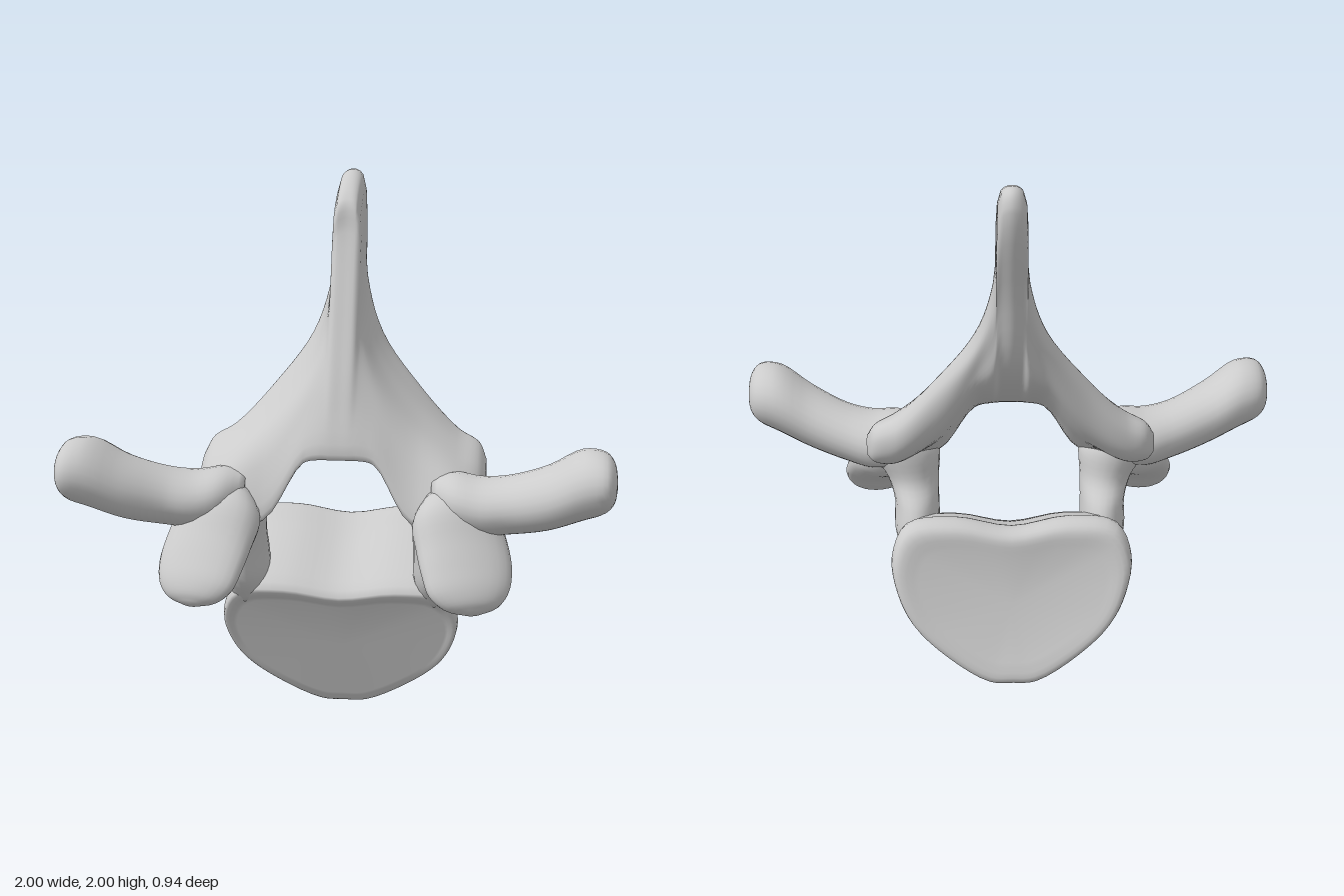
import * as THREE from 'three';

const material = new THREE.MeshStandardMaterial({ color: 0xcccccc, roughness: 0.8 });
const V = (x, y, z) => new THREE.Vector3(x, y, z);

// Smooth capped skin over closed rings of Vector3, subdivided around and along
function loft(rings, around = 40, steps = 4, startCap, endCap) {
  const loops = rings.map((r) => {
    const c = new THREE.CatmullRomCurve3(r, true);
    return Array.from({ length: around }, (_, i) => c.getPoint(i / around));
  });
  const rows = (rings.length - 1) * steps + 1;
  const pos = [];
  const columns = loops[0].map((_, i) => new THREE.CatmullRomCurve3(loops.map((l) => l[i])));
  for (let j = 0; j < rows; j++) {
    for (const c of columns) pos.push(...c.getPoint(j / (rows - 1)).toArray());
  }
  const mean = (l) => l.reduce((s, p) => s.add(p), V(0, 0, 0)).divideScalar(l.length);
  const a = pos.length / 3;
  pos.push(...(startCap || mean(loops[0])).toArray(), ...(endCap || mean(loops.at(-1))).toArray());
  const index = [];
  for (let i = 0; i < around; i++) {
    const k = (i + 1) % around;
    for (let j = 0; j < rows - 1; j++) {
      const p = j * around, q = p + around;
      index.push(p + i, p + k, q + k, p + i, q + k, q + i);
    }
    const last = (rows - 1) * around;
    index.push(a, k, i, a + 1, last + i, last + k);
  }
  // Turn the faces outward, judged by the enclosed volume
  const at = (i) => V(pos[3 * i], pos[3 * i + 1], pos[3 * i + 2]);
  let volume = 0;
  for (let i = 0; i < index.length; i += 3) {
    volume += at(index[i]).dot(at(index[i + 1]).cross(at(index[i + 2])));
  }
  if (volume < 0) index.reverse();
  const g = new THREE.BufferGeometry();
  g.setAttribute('position', new THREE.Float32BufferAttribute(pos, 3));
  g.setIndex(index);
  g.computeVertexNormals();
  return g;
}

// Elliptical limb: stations are [x, y, z, radius along u, radius along v]
function limb(stations, u, v, side) {
  const rings = stations.map(([x, y, z, ru, rv]) =>
    Array.from({ length: 12 }, (_, i) => {
      const t = (i / 12) * Math.PI * 2;
      const p = V(x, y, z).addScaledVector(u, Math.cos(t) * ru).addScaledVector(v, Math.sin(t) * rv);
      p.x *= side;
      return p;
    }));
  return loft(rings, 24, 4);
}

export function createModel() {
  const model = new THREE.Group();
  const add = (name, geometry) => {
    const mesh = new THREE.Mesh(geometry, material);
    mesh.name = name;
    model.add(mesh);
  };

  // Body: shield-shaped rings, [top z, top y, bottom z, bottom y, half width]
  const shield = [[0, 0.98], [0.48, 1.04], [0.88, 1], [1, 0.8], [0.96, 0.58], [0.83, 0.38], [0.56, 0.18], [0.2, 0.01]];
  const outline = [...shield, [0, 0], ...shield.slice(1).reverse().map(([x, t]) => [-x, t])];
  const bodyRings = [
    [0.13, 0.43, 0.0, 0.04, 0.39],
    [0.165, 0.48, -0.03, 0.0, 0.435],
    [0.02, 0.57, -0.13, 0.035, 0.42],
    [-0.15, 0.64, -0.28, 0.08, 0.42],
    [-0.26, 0.69, -0.42, 0.12, 0.44],
    [-0.32, 0.67, -0.475, 0.15, 0.42],
    [-0.335, 0.6, -0.455, 0.22, 0.34],
  ].map(([tz, ty, bz, by, w]) => outline.map(([x, t]) =>
    V(x * w, by + (ty - by) * t, bz + (tz - bz) * t)));
  add('vertebralBody', loft(bodyRings, 64, 4, V(0, 0.25, 0.065), V(0, 0.41, -0.36)));

  // Arch with upright spine: side profiles [z, y] from the middle plane outward
  const spine = [[0.175, 1], [0.12, 1.2], [0, 1.5], [-0.115, 1.79], [-0.15, 1.91], [-0.385, 2], [-0.425, 1.93], [-0.34, 1.6], [-0.25, 1.3], [0, 1.08]];
  const ridge = [[0.175, 1], [0.11, 1.2], [0.01, 1.4], [-0.06, 1.49], [-0.15, 1.56], [-0.26, 1.62], [-0.3, 1.56], [-0.28, 1.4], [-0.24, 1.25], [0, 1.07]];
  const roof = [[0.175, 0.985], [0.11, 1.15], [0.05, 1.25], [-0.03, 1.32], [-0.1, 1.37], [-0.2, 1.41], [-0.25, 1.37], [-0.24, 1.28], [-0.21, 1.2], [0, 1.05]];
  const plate = [[0.22, 0.78], [0.15, 0.98], [0.08, 1.08], [0, 1.14], [-0.08, 1.19], [-0.16, 1.22], [-0.2, 1.18], [-0.2, 1.08], [-0.16, 1], [0, 0.9]];
  const wing = [[0.24, 0.77], [0.17, 0.92], [0.1, 0.98], [0.02, 1.02], [-0.06, 1.05], [-0.14, 1.06], [-0.18, 1.02], [-0.18, 0.94], [-0.13, 0.88], [0, 0.84]];
  const shrink = (pts, k, [cz, cy]) => pts.map(([z, y]) => [cz + (z - cz) * k, cy + (y - cy) * k]);
  const profiles = [
    [0, spine],
    [0.038, shrink(spine, 0.978, spine[0])],
    [0.065, ridge],
    [0.13, roof],
    [0.27, plate],
    [0.42, wing],
    [0.5, shrink(wing, 0.75, [-0.07, 0.87])],
    [0.53, shrink(wing, 0.4, [-0.03, 0.89])],
  ];
  const slice = (sign) => ([x, pts]) => pts.map(([z, y]) => V(sign * x, y, z));
  const archRings = [...profiles.slice(1).reverse().map(slice(-1)), ...profiles.map(slice(1))];
  add('archAndSpine', loft(archRings, 50, 5));

  // Paired parts
  for (const [label, side] of [['left', 1], ['right', -1]]) {
    // Post joining the arch to the body
    add(label + 'Pedicle', limb([
      [0.42, 0.89, 0.12, 0.08, 0.1],
      [0.4, 0.82, 0.155, 0.13, 0.145],
      [0.37, 0.72, 0.135, 0.1, 0.135],
      [0.355, 0.64, 0.09, 0.085, 0.16],
      [0.355, 0.54, 0.06, 0.085, 0.17],
      [0.355, 0.44, 0.02, 0.06, 0.12],
    ], V(1, 0, 0), V(0, 0, 1), side));

    // Long side arm with a rounded knob
    add(label + 'TransverseProcess', limb([
      [0.34, 0.87, 0.13, 0.07, 0.08],
      [0.42, 0.86, 0.15, 0.1, 0.14],
      [0.52, 0.845, 0.17, 0.105, 0.15],
      [0.62, 0.86, 0.2, 0.105, 0.14],
      [0.76, 0.905, 0.255, 0.115, 0.15],
      [0.88, 0.965, 0.29, 0.125, 0.16],
      [0.96, 0.98, 0.31, 0.105, 0.145],
      [0.99, 0.98, 0.315, 0.07, 0.1],
      [1.0, 0.98, 0.32, 0.02, 0.03],
    ], V(0, 1, 0), V(0, 0, 1), side));

    // Flattened lobe reaching forward and down, broad where it leaves the arch
    add(label + 'ArticularLobe', limb([
      [0.41, 0.86, 0.14, 0.1, 0.08],
      [0.43, 0.79, 0.2, 0.16, 0.11],
      [0.46, 0.71, 0.28, 0.17, 0.085],
      [0.48, 0.64, 0.35, 0.165, 0.065],
      [0.49, 0.58, 0.4, 0.145, 0.055],
      [0.5, 0.54, 0.425, 0.1, 0.04],
      [0.505, 0.52, 0.435, 0.03, 0.015],
    ], V(0.96, 0, -0.28), V(0, 0.7, 0.7), side));
  }
  return model;
}
